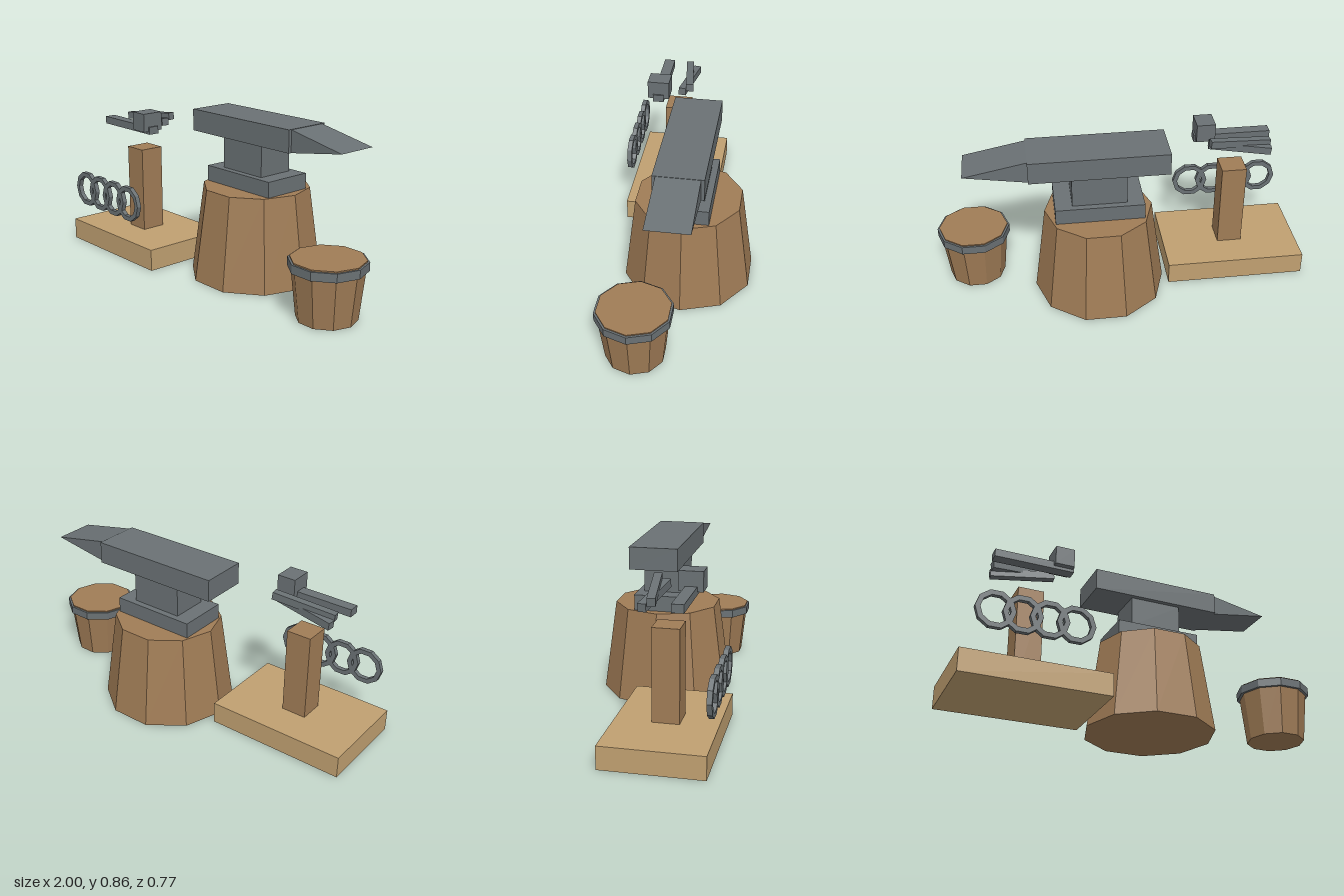
import * as THREE from 'three';

export function createModel() {
  const model = new THREE.Group();
  model.name = 'smithyTools';

  const material = (color) => {
    const m = new THREE.MeshStandardMaterial({ flatShading: true });
    m.color.set(color);
    return m;
  };
  const iron = material(0x6a7174);
  const wood = material(0xa07c56);
  const plank = material(0xc0a071);

  function add(name, geometry, mat, x, y, z, parent = model) {
    const mesh = new THREE.Mesh(geometry, mat);
    mesh.name = name;
    mesh.position.set(x, y, z);
    parent.add(mesh);
    return mesh;
  }

  // Box given by its lowest and highest corners
  function box(name, mat, [x0, y0, z0], [x1, y1, z1], parent) {
    return add(name, new THREE.BoxGeometry(x1 - x0, y1 - y0, z1 - z0), mat,
      (x0 + x1) / 2, (y0 + y1) / 2, (z0 + z1) / 2, parent);
  }

  // Ten-sided tapered drum with corners on the x axis
  function drum(name, mat, rTop, rBottom, y0, y1, x, z, parent) {
    const g = new THREE.CylinderGeometry(rTop, rBottom, y1 - y0, 10);
    g.rotateY(Math.PI / 10);
    return add(name, g, mat, x, (y0 + y1) / 2, z, parent);
  }

  function group(name) {
    const g = new THREE.Group();
    g.name = name;
    model.add(g);
    return g;
  }

  // Anvil on its stump
  drum('stump', wood, 0.285, 0.353, 0, 0.49, 0.132, -0.049);
  const anvil = group('anvil');
  box('anvilFoot', iron, [-0.1, 0.49, -0.181], [0.365, 0.573, 0.089], anvil);
  box('anvilWaist', iron, [-0.01, 0.573, -0.147], [0.275, 0.742, 0.054], anvil);
  box('anvilBody', iron, [-0.23, 0.742, -0.172], [0.492, 0.859, 0.08], anvil);

  // Horn: a wedge narrowing to a level edge
  const wedge = new THREE.Shape([
    new THREE.Vector2(0.492, 0.742),
    new THREE.Vector2(0.816, 0.794),
    new THREE.Vector2(0.492, 0.857),
  ]);
  add('anvilHorn', new THREE.ExtrudeGeometry(wedge, { depth: 0.218, bevelEnabled: false }),
    iron, 0, 0, -0.155, anvil);

  // Quenching bucket with its iron hoop
  const bucket = group('bucket');
  drum('bucketBody', wood, 0.185, 0.152, 0, 0.304, 0.805, 0.122, bucket);
  drum('bucketHoop', iron, 0.195, 0.195, 0.253, 0.297, 0.805, 0.122, bucket);

  // Tool stand
  const stand = group('toolStand');
  box('standBase', plank, [-1, 0, -0.133], [-0.245, 0.118, 0.375], stand);
  box('standPost', wood, [-0.69, 0, 0.053], [-0.555, 0.59, 0.189], stand);

  // Row of flat ten-sided rings
  const corners = (r) => Array.from({ length: 10 }, (_, i) =>
    new THREE.Vector2(Math.cos(i * Math.PI / 5) * r, Math.sin(i * Math.PI / 5) * r));
  const ringShape = new THREE.Shape(corners(0.1));
  ringShape.holes.push(new THREE.Path(corners(0.074).reverse()));
  const ringGeometry = new THREE.ExtrudeGeometry(ringShape, { depth: 0.025, bevelEnabled: false });
  const rings = group('rings');
  for (let i = 0; i < 4; i++) {
    add('ring', ringGeometry, iron, -0.845 + i * 0.1337, 0.338, 0.36, rings);
  }

  // Hammer
  const hammer = group('hammer');
  box('hammerHandle', iron, [-0.833, 0.709, 0.178], [-0.415, 0.75, 0.237], hammer);
  box('hammerHead', iron, [-0.525, 0.725, 0.148], [-0.424, 0.825, 0.267], hammer);

  // Tongs: two crossed bars tilted upwards
  const tongs = group('tongs');
  for (const [y, turn] of [[0.733, -0.13], [0.76, 0.13]]) {
    const bar = add('tongsBar', new THREE.BoxGeometry(0.335, 0.04, 0.04), iron, -0.64, y, 0.06, tongs);
    bar.rotation.set(0, turn, 0.105);
  }

  return model;
}
